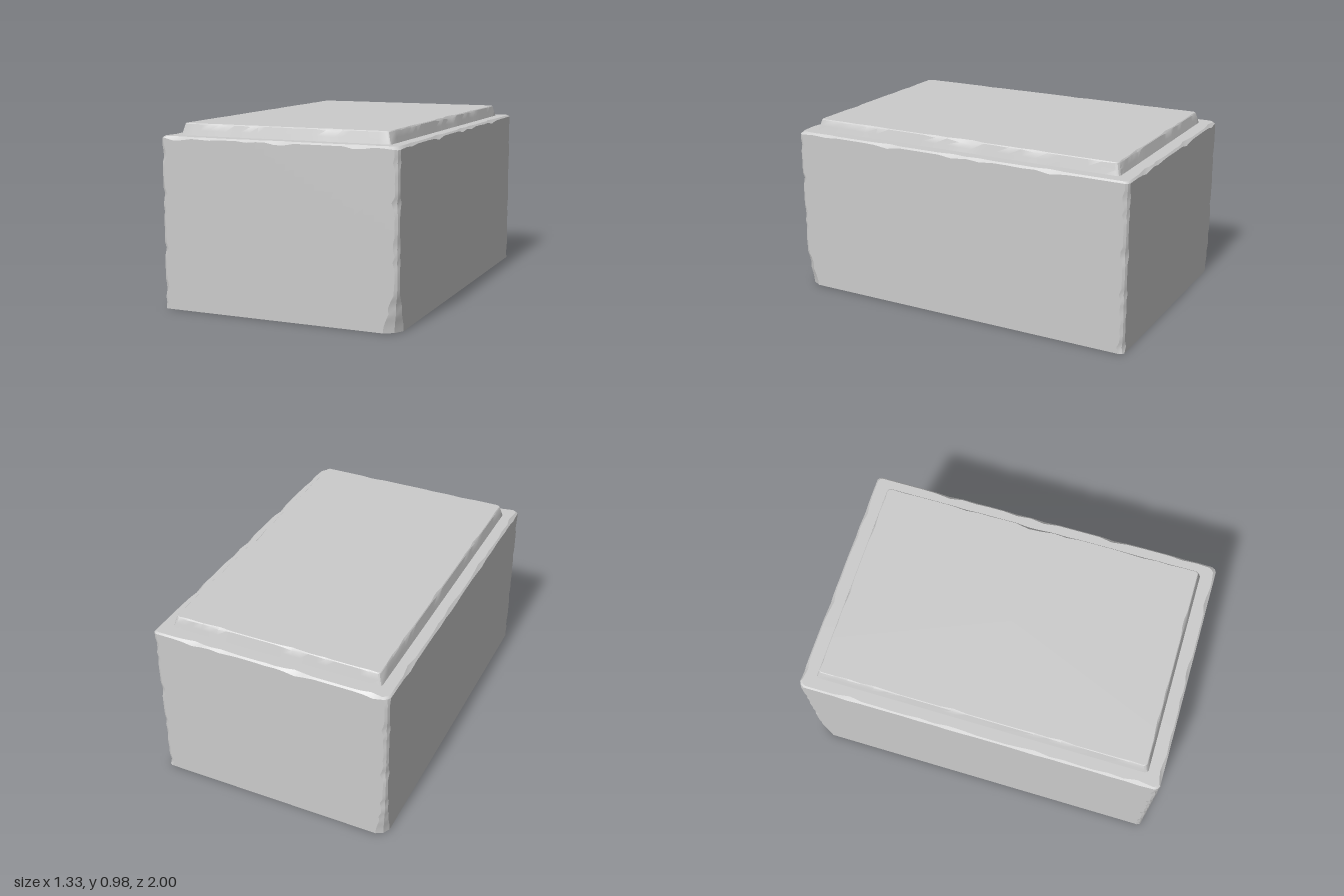
import * as THREE from 'three';
import { toCreasedNormals } from 'three/addons/utils/BufferGeometryUtils.js';

const SIDE_STEPS = 24;

// Irregular wear between 0 and 1 along an edge
const wear = (t, k) => Math.max(0, Math.sin(t * 9.3 + k * 2.1) * Math.sin(t * 21.7 + k * 4.7));
const bump = (t, at, width) => Math.exp(-(((t - at) / width) ** 2));

// Outline of a rectangle with worn corners, counterclockwise from above
function outline(w, d, cut) {
  const pts = [];
  const corners = [[1, 1], [1, -1], [-1, -1], [-1, 1]];
  corners.forEach(([sx, sz], k) => {
    const c = cut(k);
    const onZ = [sx * (w - c), sz * d];
    const mid = [sx * (w - c * 0.36), sz * (d - c * 0.36)];
    const onX = [sx * w, sz * (d - c)];
    pts.push(...(k % 2 === 0 ? [onZ, mid, onX] : [onX, mid, onZ]));
    // Points along the side to the next corner
    const [nx, nz] = corners[(k + 1) % 4];
    const cn = cut((k + 1) % 4);
    const from = pts[pts.length - 1];
    const to = k % 2 === 0 ? [nx * w, nz * (d - cn)] : [nx * (w - cn), nz * d];
    for (let i = 1; i < SIDE_STEPS; i++) {
      const t = i / SIDE_STEPS;
      pts.push([from[0] + (to[0] - from[0]) * t, from[1] + (to[1] - from[1]) * t]);
    }
  });
  return pts;
}

// Slab lofted from worn outlines, with an uneven bevel round the top
function wornSlab({ w, d, y0, y1, taper, rows, cut, bevel }) {
  const rings = [];
  for (let r = 0; r <= rows + 1; r++) {
    const isTop = r === rows + 1;
    const f = Math.min(r / rows, 1);
    const inset = taper * f;
    const pts = outline(w - inset, d - inset, (k) => cut(k, y0 + (y1 - y0) * f));
    rings.push(pts.map(([x, z], i) => {
      const b = bevel(Math.floor(i / (SIDE_STEPS + 2)), x, z);
      const s = isTop ? b : 0;
      const y = isTop ? y1 : y0 + (y1 - b - y0) * f;
      return [x * (1 - s / w), y, z * (1 - s / d)];
    }));
  }
  const n = rings[0].length;
  const positions = rings.flat(2);
  const bottom = rings.length * n;
  const top = bottom + 1;
  positions.push(0, y0, 0, 0, y1, 0);
  const index = [];
  for (let i = 0; i < n; i++) {
    const j = (i + 1) % n;
    for (let r = 0; r < rings.length - 1; r++) {
      const a = r * n, b = a + n;
      index.push(a + i, a + j, b + j, a + i, b + j, b + i);
    }
    const last = (rings.length - 1) * n;
    index.push(bottom, j, i, top, last + i, last + j);
  }
  const geometry = new THREE.BufferGeometry();
  geometry.setAttribute('position', new THREE.Float32BufferAttribute(positions, 3));
  geometry.setIndex(index);
  return toCreasedNormals(geometry, 0.5);
}

export function createModel() {
  const group = new THREE.Group();
  group.name = 'stoneBlock';
  const stone = new THREE.MeshStandardMaterial({ color: 0xcccccc });
  const add = (name, options) => {
    const mesh = new THREE.Mesh(wornSlab(options), stone);
    mesh.name = name;
    group.add(mesh);
  };

  // Main block, with broken lower corners at the front left and back right
  const chips = [0.06, 0, 0.035, 0];
  add('block', {
    w: 0.663, d: 1, y0: 0, y1: 0.92, taper: 0, rows: 28,
    cut: (k, y) => 0.02 + 0.018 * wear(y * 2, k + 1) + chips[k] * bump(y, 0, 0.12),
    bevel: (k, x, z) => 0.009 + 0.014 * wear(x + z, k + 2),
  });

  // Raised panel with sloping sides and a chipped left edge
  add('raisedPanel', {
    w: 0.593, d: 0.922, y0: 0.915, y1: 0.983, taper: 0.017, rows: 2,
    cut: (k) => 0.012 + 0.006 * k % 0.012,
    bevel: (k, x, z) => 0.004 + 0.008 * wear(x - z, k + 5)
      + (x > 0.5 ? 0.022 * bump(z, -0.04, 0.05) : 0),
  });
  return group;
}
